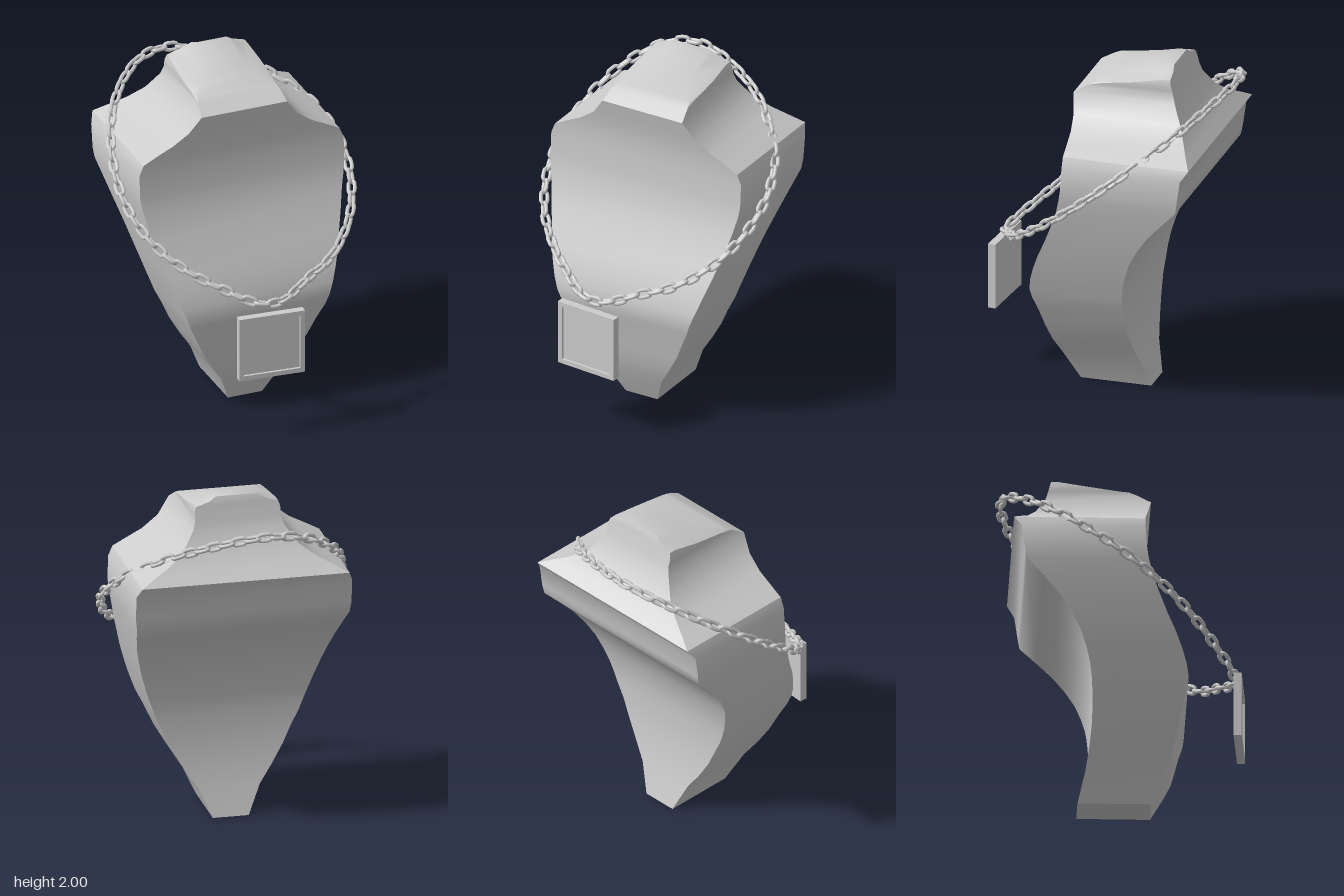
import * as THREE from 'three';
import { toCreasedNormals } from 'three/addons/utils/BufferGeometryUtils.js';

const grey = new THREE.MeshStandardMaterial({ color: 0xcccccc });
grey.name = 'grey';

// Bust sections: height, half width, front z, back z, [front half width, shoulder z]
const sections = [
  [0, 0.105, 0.17, -0.25], [0.17, 0.18, 0.25, -0.207], [0.28, 0.255, 0.29, -0.188],
  [0.39, 0.32, 0.315, -0.176], [0.5, 0.37, 0.338, -0.172], [0.59, 0.415, 0.362, -0.176],
  [0.65, 0.437, 0.372, -0.18], [0.72, 0.463, 0.36, -0.19], [0.8, 0.49, 0.335, -0.21],
  [0.9, 0.522, 0.295, -0.245], [1, 0.55, 0.247, -0.3], [1.1, 0.577, 0.205, -0.37],
  [1.2, 0.6, 0.165, -0.46], [1.3, 0.622, 0.14, -0.555], [1.36, 0.63, 0.13, -0.565],
  [1.5, 0.63, 0.12, -0.585], [1.56, 0.605, 0.12, -0.627], [1.6, 0.53, 0.122, -0.59],
  [1.65, 0.43, 0.127, -0.545], [1.72, 0.335, 0.14, -0.495], [1.82, 0.265, 0.163, -0.44],
  [1.87, 0.25, 0.08, -0.425, 0.25, 0.08], [1.89, 0.25, 0.04, -0.42, 0.24, 0],
  [1.92, 0.25, -0.06, -0.412, 0.17, -0.2], [1.95, 0.24, -0.15, -0.405, 0.145, -0.36],
  [1.975, 0.16, -0.24, -0.4, 0.125, -0.34], [2, 0.12, -0.35, -0.39, 0.12, -0.35],
];

function bustGeometry() {
  const pos = [], index = [];
  for (const [y, w, zf, zb, wf = w, zs = zf] of sections) {
    for (const [x, z] of [[-wf, zf], [wf, zf], [w, zs], [w, zb], [-w, zb], [-w, zs]]) pos.push(x, y, z);
  }
  const n = 6, top = (sections.length - 1) * n;
  for (let r = 0; r < top; r += n) {
    for (let i = 0; i < n; i++) {
      const a = r + i, b = r + (i + 1) % n;
      // the chamfer strips only exist near the neck
      const chamfer = i === 1 || i === 5;
      if (chamfer && r / n < 21) continue;
      index.push(a, b, b + n, a, b + n, a + n);
    }
  }
  for (let i = 1; i < n - 1; i++) index.push(top, top + i, top + i + 1, 0, i + 1, i);
  const g = new THREE.BufferGeometry();
  g.setAttribute('position', new THREE.Float32BufferAttribute(pos, 3));
  g.setIndex(index);
  return toCreasedNormals(g, 0.6);
}

// One oval chain link, long along x
function linkGeometry() {
  const pts = [], straight = 0.02, r = 0.02;
  for (let i = 0; i < 12; i++) {
    const a = ((i + 0.5) / 12) * Math.PI * 2;
    pts.push(new THREE.Vector3(Math.cos(a) * r + Math.sign(Math.cos(a)) * straight, Math.sin(a) * r, 0));
  }
  return new THREE.TubeGeometry(new THREE.CatmullRomCurve3(pts, true), 24, 0.0115, 7, true);
}

function makeChain() {
  const chain = new THREE.Group();
  chain.name = 'chain';
  // Loop seen from above; it lies in a plane sloping down to the front
  const loop = [
    [-0.02, 0.65], [-0.15, 0.62], [-0.25, 0.56], [-0.4, 0.46], [-0.55, 0.32], [-0.64, 0.17],
    [-0.68, 0], [-0.66, -0.2], [-0.57, -0.42], [-0.44, -0.57], [-0.3, -0.66], [-0.15, -0.69],
    [0, -0.67], [0.2, -0.6], [0.37, -0.51], [0.5, -0.4], [0.62, -0.27], [0.69, -0.08],
    [0.68, 0.1], [0.61, 0.27], [0.5, 0.4], [0.38, 0.49], [0.2, 0.57], [0.1, 0.62],
  ];
  const curve = new THREE.CatmullRomCurve3(loop.map(([x, z]) => new THREE.Vector3(x, 1.313 - 0.763 * z, z)), true);
  const normal = new THREE.Vector3(0, 1, 0.763).normalize();
  const geometry = linkGeometry(), count = 64;
  for (let i = 0; i < count; i++) {
    const t = curve.getTangentAt(i / count);
    const side = new THREE.Vector3().crossVectors(normal, t).normalize();
    const link = new THREE.Mesh(geometry, grey);
    link.name = 'chainLink';
    link.quaternion.setFromRotationMatrix(new THREE.Matrix4().makeBasis(t, side, normal));
    link.rotateX(i % 2 ? Math.PI / 4 : -Math.PI / 4);
    link.position.copy(curve.getPointAt(i / count));
    chain.add(link);
  }
  return chain;
}

function square(Type, h) {
  const s = new Type();
  s.moveTo(-h, -h);
  s.lineTo(h, -h);
  s.lineTo(h, h);
  s.lineTo(-h, h);
  s.closePath();
  return s;
}

function makePendant() {
  const pendant = new THREE.Group();
  pendant.name = 'pendant';
  const size = 0.392, depth = 0.046, recess = 0.015;
  const plate = new THREE.Mesh(new THREE.BoxGeometry(size, size, depth - recess), grey);
  plate.name = 'pendantPlate';
  plate.position.z = -recess / 2;
  // Raised rim around the recessed face
  const outline = square(THREE.Shape, size / 2);
  outline.holes.push(square(THREE.Path, size / 2 - 0.028));
  const rim = new THREE.Mesh(new THREE.ExtrudeGeometry(outline, { depth: recess, bevelEnabled: false }), grey);
  rim.name = 'pendantRim';
  rim.position.z = depth / 2 - recess;
  pendant.add(plate, rim);
  pendant.position.set(-0.052, 0.572, 0.673);
  pendant.rotation.y = -0.085;
  return pendant;
}

export function createModel() {
  const model = new THREE.Group();
  model.name = 'necklaceDisplay';
  const bust = new THREE.Mesh(bustGeometry(), grey);
  bust.name = 'displayBust';
  model.add(bust, makeChain(), makePendant());
  return model;
}
